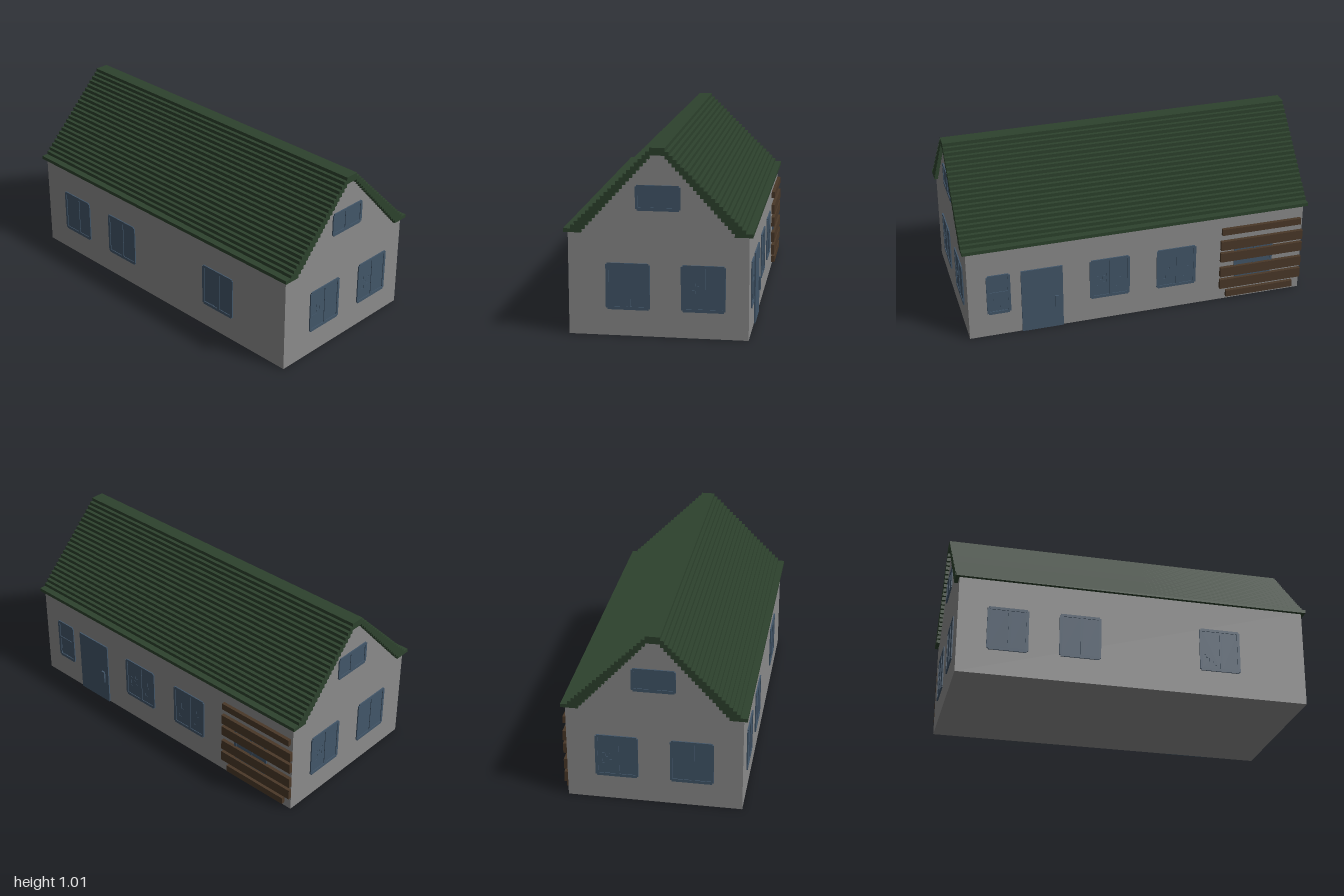
import * as THREE from 'three';

const mat = (name, color) => {
  const m = new THREE.MeshStandardMaterial({ color });
  m.name = name;
  return m;
};

export function createModel() {
  const wallGrey = mat('wall grey', 0x8b8b8b);
  const roofGreen = mat('roof green', 0x2d422d);
  const windowBlue = mat('window blue', 0x425669);
  const plankBrown = mat('plank brown', 0x4a3828);

  const house = new THREE.Group();
  house.name = 'house';
  const W = 0.98, D = 0.475, CELL = 0.02;

  const add = (parent, name, geometry, material, x = 0, y = 0, z = 0) => {
    const m = new THREE.Mesh(geometry, material);
    m.name = name;
    m.position.set(x, y, z);
    parent.add(m);
    return m;
  };
  const poly = (pts) => pts.map(([x, y]) => new THREE.Vector2(x, y));
  const extrude = (shape, depth) => new THREE.ExtrudeGeometry(shape, { depth, bevelEnabled: false });
  // Cross-section in (z, y) stretched along x; the outline is symmetric in z
  const alongX = (pts, halfLength) =>
    extrude(new THREE.Shape(poly(pts)), halfLength * 2).rotateY(Math.PI / 2).translate(-halfLength, 0, 0);

  // Walls with gables whose tops sit inside the roof
  add(house, 'walls', alongX([[-D, 0], [D, 0], [D, 0.565], [0.425, 0.565], [0.03, 0.985],
    [-0.03, 0.985], [-0.425, 0.565], [-D, 0.565]], W), wallGrey);

  // Stepped roof: outer stair over an inner stair, mirrored
  const STEPS = 22, rise = 0.435 / STEPS;
  const outer = [[0.495, 0.555], [0.495, 0.575]];
  for (let k = 0; k < STEPS; k++) {
    const z = 0.457 - k * (0.417 / (STEPS - 1)), y = 0.575 + k * rise;
    outer.push([z, y], [z, y + rise]);
  }
  const inner = [];
  const IN = 21;
  for (let k = 0; k < IN; k++) {
    const z = 0.4 - k * (0.36 / (IN - 1)), y = 0.555 + k * (0.415 / IN);
    inner.push([z, y], [z, y + 0.415 / IN]);
  }
  const flip = (pts) => pts.map(([z, y]) => [-z, y]);
  add(house, 'roof', alongX([...outer, ...flip(outer).reverse(), ...flip(inner), ...[...inner].reverse()], 1), roofGreen);

  // One group per wall face: local x runs to the right, local z points outward
  const face = (name, angle, distance) => {
    const g = new THREE.Group();
    g.name = name;
    g.rotation.y = angle;
    g.position.set(Math.sin(angle) * distance, 0, Math.cos(angle) * distance);
    house.add(g);
    return g;
  };
  const front = face('frontFace', 0, D);
  const back = face('backFace', Math.PI, D);
  const right = face('rightFace', Math.PI / 2, W);
  const left = face('leftFace', -Math.PI / 2, W);

  const rect = (x0, y0, x1, y1) => [[x0, y0], [x1, y0], [x1, y1], [x0, y1]];
  // Plate outline with notched corners
  const notched = (x0, y0, x1, y1, c = 0.008) => new THREE.Shape(poly([
    [x0 + c, y0], [x1 - c, y0], [x1 - c, y0 + c], [x1, y0 + c], [x1, y1 - c], [x1 - c, y1 - c],
    [x1 - c, y1], [x0 + c, y1], [x0 + c, y1 - c], [x0, y1 - c], [x0, y0 + c], [x0 + c, y0 + c]]));

  // Window: backing, raised frame, panes with optional broken holes (in cells)
  const addWindow = (parent, x0, y0, x1, y1, panes, breaks = []) => {
    const g = new THREE.Group();
    g.name = 'window';
    parent.add(g);
    add(g, 'windowBacking', extrude(notched(x0, y0, x1, y1), 0.001), windowBlue);
    const frame = notched(x0, y0, x1, y1);
    panes.forEach((p, i) => {
      frame.holes.push(new THREE.Path(poly(rect(...p))));
      const pane = new THREE.Shape(poly(rect(...p)));
      for (const hole of breaks[i] || [])
        pane.holes.push(new THREE.Path(poly(hole.map(([cx, cy]) =>
          [p[0] + 0.0015 + cx * CELL, p[1] + 0.0015 + cy * CELL]))));
      add(g, 'windowPane', extrude(pane, 0.003), windowBlue);
    });
    add(g, 'windowFrame', extrude(frame, 0.007), windowBlue);
  };
  // Two sashes side by side
  const casement = (parent, x0, x1, breaks) => {
    const split = x0 + 0.115;
    addWindow(parent, x0, 0.143, x1, 0.395,
      [[x0 + 0.015, 0.16, split, 0.38], [split + 0.015, 0.16, x1 - 0.015, 0.38]], breaks);
  };

  // Broken glass patterns
  const e = 0.06;
  const cell = (x, y, h = 1) => rect(x + e, y + e, x + 1 - e, y + h - e);
  const stair = [[[0, 0], [4, 0], [4, 1], [3, 1], [3, 2], [2, 2], [2, 3], [1, 3], [1, 4], [0, 4]]];
  const crook = [[[0, 4], [2, 4], [2, 5], [3, 5], [3, 6], [2, 6], [2, 7], [1, 7], [1, 5], [0, 5]]];
  const scatter = [cell(1, 6), cell(3, 6), cell(2, 5), cell(1, 3, 2), cell(3, 4)];
  const chips = [cell(1, 2), cell(2, 5, 2)];

  // Front windows
  casement(front, -0.82, -0.593);
  casement(front, -0.424, -0.193);
  casement(front, 0.367, 0.6, [stair]);

  // End windows, with a low gable window at each end
  casement(right, -0.277, -0.043, [crook]);
  casement(right, 0.12, 0.354, [scatter]);
  casement(left, -0.32, -0.087, [scatter]);
  casement(left, 0.085, 0.32);
  for (const end of [left, right])
    addWindow(end, -0.118, 0.677, 0.118, 0.812,
      [[-0.103, 0.695, -0.02, 0.797], [0.02, 0.695, 0.103, 0.797]]);

  // Back windows: one narrow, three double
  addWindow(back, -0.875, 0.143, -0.74, 0.395,
    [[-0.86, 0.285, -0.755, 0.38], [-0.86, 0.16, -0.755, 0.27]], [[], stair]);
  casement(back, -0.287, -0.055, [scatter, chips]);
  casement(back, 0.105, 0.338, [chips, chips]);
  casement(back, 0.57, 0.803);

  // Back door with handle
  add(back, 'door', extrude(new THREE.Shape(poly(rect(-0.68, 0, -0.443, 0.395))), 0.008), windowBlue);
  add(back, 'doorHandle', new THREE.BoxGeometry(0.022, 0.075, 0.012), windowBlue, -0.48, 0.17, 0.012);

  // Planks nailed across the last back window: x from, x to, y from, y to
  [[0.525, 0.935, 0.02, 0.06], [0.485, 0.98, 0.08, 0.14], [0.485, 0.98, 0.16, 0.22],
    [0.485, 0.98, 0.26, 0.318], [0.485, 0.98, 0.338, 0.396], [0.49, 0.965, 0.438, 0.477]]
    .forEach(([x0, x1, y0, y1]) => add(back, 'plank', new THREE.BoxGeometry(x1 - x0, y1 - y0, 0.02),
      plankBrown, (x0 + x1) / 2, (y0 + y1) / 2, 0.01));

  return house;
}
